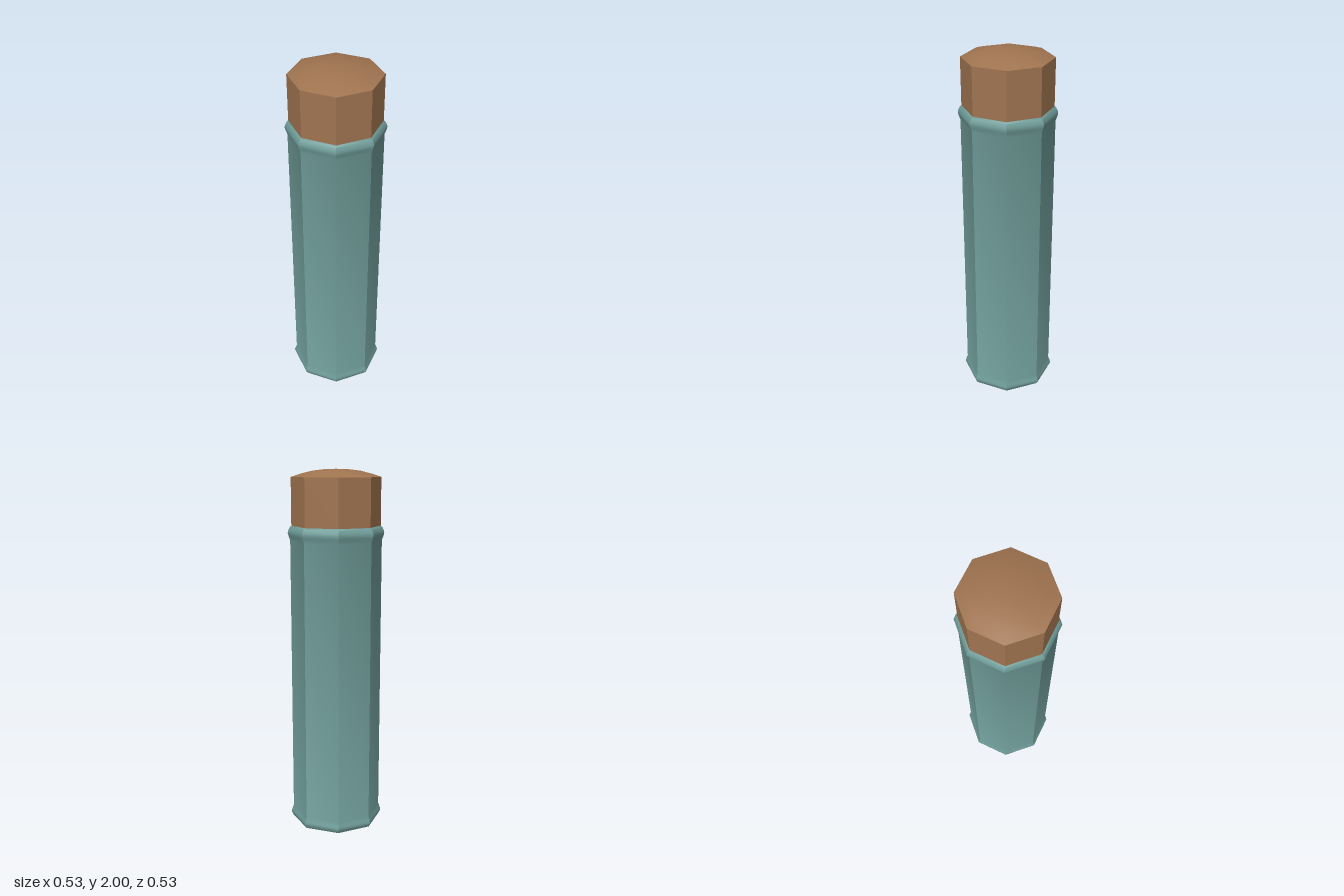
import * as THREE from 'three';
import { toCreasedNormals } from 'three/addons/utils/BufferGeometryUtils.js';

const SIDES = 8;
const TEAL = 0x6f9c99;
const BROWN = 0xa07450;

// Turns a [radius, height] profile (bottom to top) into a crisp-edged prism
function turned(name, profile, color, sides = SIDES) {
  const points = profile.map(([r, y]) => new THREE.Vector2(r, y));
  const geometry = toCreasedNormals(new THREE.LatheGeometry(points, sides), 0.65);
  const mesh = new THREE.Mesh(geometry, new THREE.MeshStandardMaterial({ color }));
  mesh.name = name;
  return mesh;
}

export function createModel() {
  const group = new THREE.Group();
  group.name = 'cappedTube';

  // Octagonal sleeve with a small rolled bead at each end
  group.add(turned('sleeve', [
    [0.245, 0.003], [0.252, 0.006], [0.261, 0.022], [0.263, 0.032], [0.259, 0.045], [0.25, 0.07],
    [0.25, 1.62], [0.259, 1.645], [0.263, 1.66], [0.261, 1.673], [0.252, 1.692], [0.243, 1.7],
  ], TEAL));

  // Stopper with a shallow domed top
  group.add(turned('stopper', [
    [0.243, 1.69], [0.243, 1.958], [0.19, 1.975], [0.13, 1.99], [0.065, 1.998], [0, 2],
  ], BROWN));

  // Underside plate and the round plug in its centre
  group.add(turned('basePlate', [[0, 0.003], [0.248, 0.003]], BROWN));
  group.add(turned('basePlug', [[0, 0], [0.083, 0], [0.083, 0.004]], TEAL, 16));

  return group;
}
